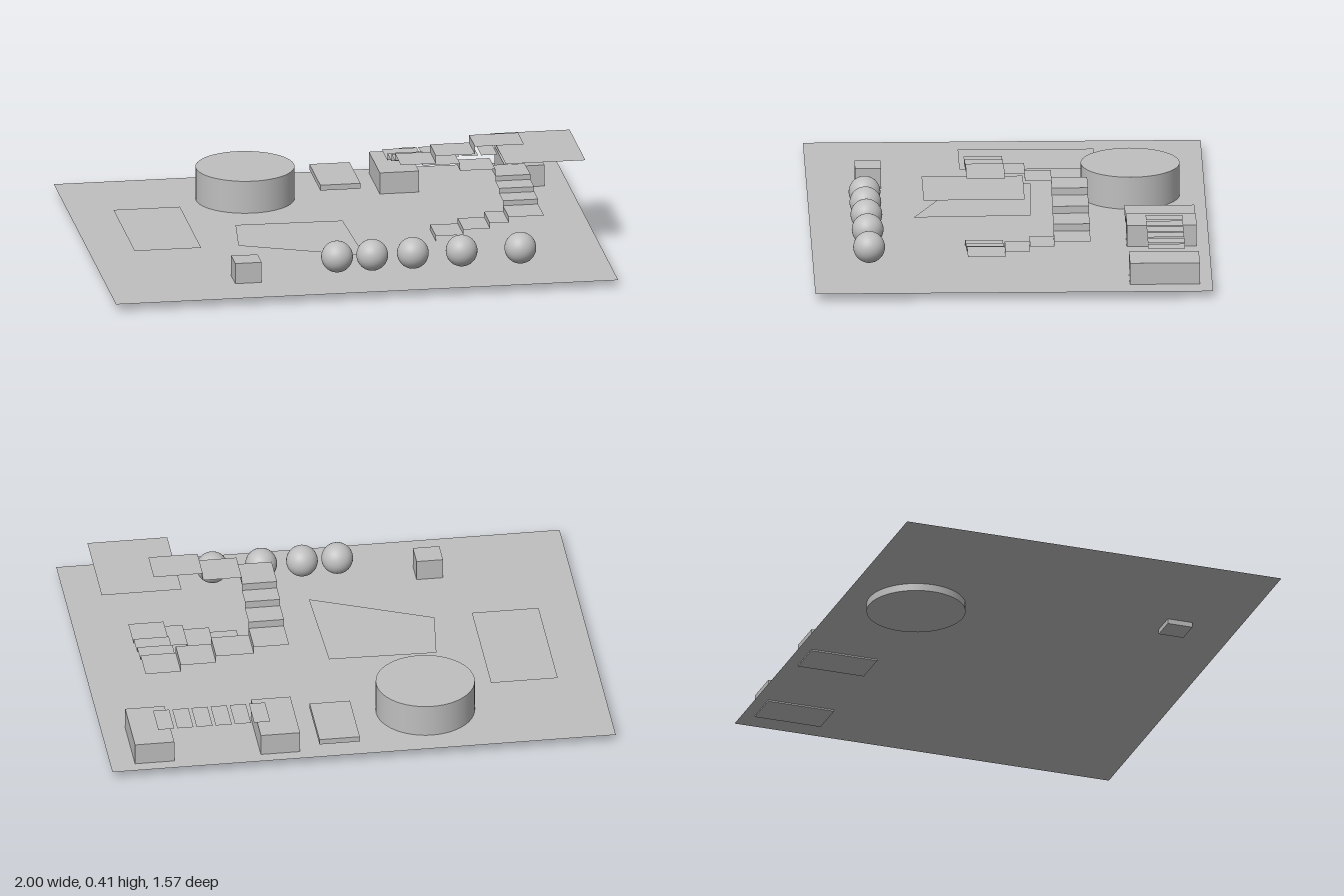
import * as THREE from 'three';

const grey = new THREE.MeshStandardMaterial({ color: 0xbfbfbf, side: THREE.DoubleSide });
grey.name = 'plain grey';

const FLOOR = 0.03;

export function createModel() {
  const model = new THREE.Group();
  model.name = 'blockoutLevel';

  const add = (name, geometry, x, y, z, parent = model) => {
    const mesh = new THREE.Mesh(geometry, grey);
    mesh.name = name;
    mesh.position.set(x, y, z);
    parent.add(mesh);
    return mesh;
  };
  // Horizontal sheet spanning x0..x1, z0..z1
  const sheet = (name, x0, x1, z0, z1, y, parent) =>
    add(name, new THREE.PlaneGeometry(x1 - x0, z1 - z0).rotateX(-Math.PI / 2),
      (x0 + x1) / 2, y, (z0 + z1) / 2, parent);
  // Solid block from its bounds
  const block = (name, x0, x1, y0, y1, z0, z1) =>
    add(name, new THREE.BoxGeometry(x1 - x0, y1 - y0, z1 - z0),
      (x0 + x1) / 2, (y0 + y1) / 2, (z0 + z1) / 2);

  // Ground and flat areas
  sheet('floor', -1, 1, -0.785, 0.78, FLOOR);
  sheet('floorPatch', -0.83, -0.565, -0.36, 0.175, 0.05);
  const outline = [[-0.385, -0.1], [0.04, -0.09], [0.055, 0.37], [-0.415, 0.165]]
    .map(([x, z]) => new THREE.Vector2(x, -z));
  add('irregularPatch', new THREE.ShapeGeometry(new THREE.Shape(outline)).rotateX(-Math.PI / 2), 0, 0.048, 0);

  // Solid obstacles
  add('drum', new THREE.CylinderGeometry(0.195, 0.195, 0.162, 48), -0.285, 0.081, -0.49);
  block('crate', -0.495, -0.39, 0.01, 0.113, 0.487, 0.59);
  block('lowSlab', 0.01, 0.17, 0.056, 0.078, -0.735, -0.46);

  // Bridge: two piers joined by spaced planks
  block('bridgePier', 0.247, 0.403, 0.024, 0.117, -0.735, -0.46);
  block('bridgePier', 0.747, 0.903, 0.024, 0.117, -0.735, -0.46);
  for (let i = 0; i < 6; i++) {
    const x = 0.358 + i * 0.0762;
    sheet('bridgePlank', x, x + 0.064, -0.68, -0.535, 0.145);
  }

  // Row of balls
  for (const x of [-0.085, 0.055, 0.217, 0.411, 0.645]) {
    add('ball', new THREE.SphereGeometry(0.0625, 32, 20), x, 0.112, 0.56);
  }

  // Square spiral staircase made of sheets for treads and risers
  const stairs = new THREE.Group();
  stairs.name = 'spiralStaircase';
  model.add(stairs);
  let y = FLOOR;
  const riser = (axis, at, a, b, h) => {
    const g = new THREE.PlaneGeometry(b - a, h);
    if (axis === 'x') add('riser', g.rotateY(Math.PI / 2), at, y + h / 2, (a + b) / 2, stairs);
    else add('riser', g, (a + b) / 2, y + h / 2, at, stairs);
    y += h;
  };
  // Edges list the riser positions in climbing order; the last entry ends the flight
  const flight = (axis, edges, a, b, h) => {
    for (let i = 0; i < edges.length - 1; i++) {
      riser(axis, edges[i], a, b, h);
      const lo = Math.min(edges[i], edges[i + 1]), hi = Math.max(edges[i], edges[i + 1]);
      if (axis === 'x') sheet('tread', lo, hi, a, b, y, stairs);
      else sheet('tread', a, b, lo, hi, y, stairs);
    }
  };
  flight('x', [0.37, 0.48, 0.585, 0.66, 0.8], 0.027, 0.175, 0.0213);
  flight('z', [0.027, -0.07, -0.165, -0.308], 0.66, 0.8, 0.0205);
  flight('x', [0.66, 0.52, 0.37, 0.23], -0.308, -0.165, 0.029);
  flight('z', [-0.165, -0.06, 0.027, 0.178], 0.23, 0.37, 0.0295);
  flight('x', [0.37, 0.525, 0.72], 0.027, 0.178, 0.031);

  // Landing just under the top tread
  sheet('landing', 0.62, 0.937, -0.045, 0.353, 0.393, stairs);

  return model;
}
